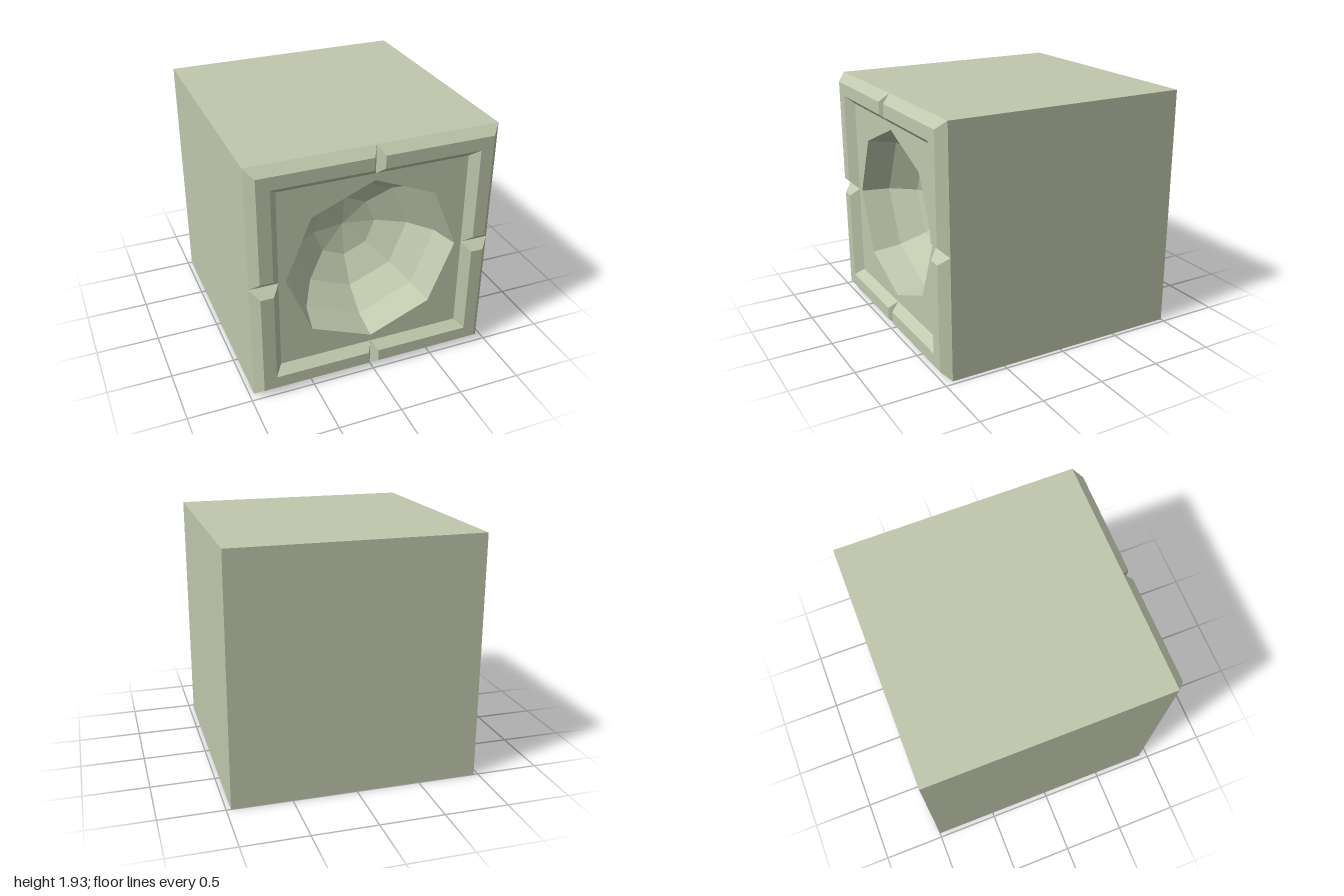
import * as THREE from 'three';

const HALF = 0.965;   // half width and half height
const FACE = 0.93;    // z of the front panel
const FRONT = 1;      // z of the raised rim
const BOWL = 0.685;   // bowl radius

const material = new THREE.MeshStandardMaterial({ color: 0xc0c8ad, flatShading: true });
const openMaterial = material.clone();
openMaterial.side = THREE.DoubleSide;

function add(parent, name, geometry, mat = material) {
  const mesh = new THREE.Mesh(geometry, mat);
  mesh.name = name;
  parent.add(mesh);
  return mesh;
}

// Box without its front side
function shellGeometry() {
  const depth = FACE + 1;
  const box = new THREE.BoxGeometry(2 * HALF, 2 * HALF, depth).translate(0, 0, FACE - depth / 2);
  const index = Array.from(box.index.array);
  index.splice(24, 6); // the +z side
  box.setIndex(index);
  box.clearGroups();
  return box;
}

// Square front panel with an octagonal opening
function panelGeometry() {
  const shape = new THREE.Shape([[-1, -1], [1, -1], [1, 1], [-1, 1]]
    .map(([x, y]) => new THREE.Vector2(x * HALF, y * HALF)));
  const hole = [];
  for (let i = 0; i < 8; i++) {
    const a = -i * Math.PI / 4;
    hole.push(new THREE.Vector2(BOWL * Math.cos(a), BOWL * Math.sin(a)));
  }
  shape.holes.push(new THREE.Path(hole));
  return new THREE.ShapeGeometry(shape).translate(0, 0, FACE);
}

// Eight-sided hollow, slightly shallower than a half sphere
function bowlGeometry() {
  const profile = [];
  for (let i = 0; i <= 4; i++) {
    const a = i * Math.PI / 8;
    profile.push(new THREE.Vector2(BOWL * Math.cos(a), -0.86 * BOWL * Math.sin(a)));
  }
  profile[4].x = 0;
  return new THREE.LatheGeometry(profile, 8).rotateX(Math.PI / 2).translate(0, 0, FACE);
}

// One L-shaped quarter of the bevelled rim, with slanted ends that form the notches
function rimGeometry() {
  const section = [[HALF, FACE, 0], [0.9, FRONT, 1], [0.8, FRONT, 1], [0.74, FACE, 0]];
  const rings = [
    section.map(([o, z, k]) => [k * 0.042, o, z]),
    section.map(([o, z]) => [o, o, z]),
    section.map(([o, z, k]) => [o, k * 0.065, z]),
  ];
  const index = [];
  for (let r = 0; r < 2; r++) {
    for (let i = 0; i < 3; i++) {
      const a = r * 4 + i, b = a + 1, c = a + 4, d = a + 5;
      index.push(a, b, c, b, d, c);
    }
  }
  index.push(0, 3, 2, 0, 2, 1, 8, 9, 10, 8, 10, 11);
  const geometry = new THREE.BufferGeometry();
  geometry.setAttribute('position', new THREE.Float32BufferAttribute(rings.flat(2), 3));
  geometry.setIndex(index);
  const flat = geometry.toNonIndexed();
  flat.computeVertexNormals();
  return flat;
}

export function createModel() {
  const model = new THREE.Group();
  model.name = 'block';
  const block = new THREE.Group();
  block.name = 'hollowFacedBlock';
  block.position.y = HALF;
  model.add(block);

  add(block, 'bodyShell', shellGeometry());
  add(block, 'frontPanel', panelGeometry());
  add(block, 'bowl', bowlGeometry(), openMaterial);

  // Four mirrored rim corners
  const rim = rimGeometry();
  for (const [sx, side] of [[1, 'Left'], [-1, 'Right']]) {
    for (const [sy, level] of [[1, 'upper'], [-1, 'lower']]) {
      add(block, `${level}${side}Rim`, rim).scale.set(sx, sy, 1);
    }
  }
  return model;
}
